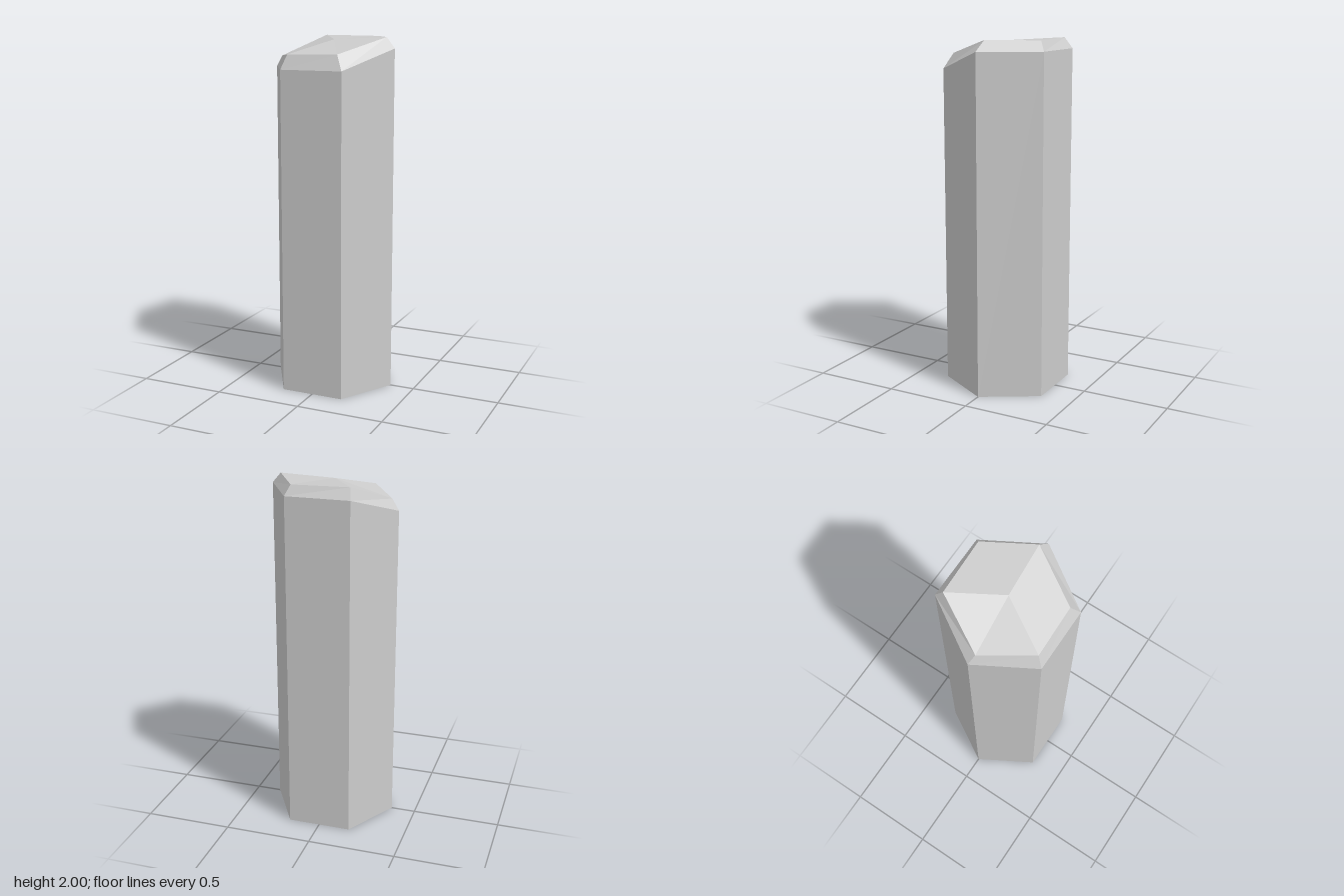
import * as THREE from 'three';

const SIDES = 6;
const RADIUS = 0.36;

// Surface through a stack of six-point rings, optionally closed by a fan to an apex.
function loft(rings, apex) {
  const position = [], index = [];
  rings.forEach(ring => ring.forEach(p => position.push(...p)));
  for (let r = 0; r < rings.length - 1; r++) {
    for (let i = 0; i < SIDES; i++) {
      const a = r * SIDES + i, b = r * SIDES + (i + 1) % SIDES;
      index.push(a, b, b + SIDES, a, b + SIDES, a + SIDES);
    }
  }
  if (apex) {
    const base = (rings.length - 1) * SIDES;
    position.push(...apex);
    for (let i = 0; i < SIDES; i++) index.push(base + i, base + (i + 1) % SIDES, base + SIDES);
  }
  const indexed = new THREE.BufferGeometry();
  indexed.setAttribute('position', new THREE.Float32BufferAttribute(position, 3));
  indexed.setIndex(index);
  const geometry = indexed.toNonIndexed();
  geometry.computeVertexNormals();
  return geometry;
}

export function createModel() {
  const group = new THREE.Group();
  group.name = 'hexagonalColumn';
  const material = new THREE.MeshStandardMaterial({
    color: 0xcccccc, flatShading: true, side: THREE.DoubleSide,
  });
  const add = (name, geometry) => {
    const mesh = new THREE.Mesh(geometry, material);
    mesh.name = name;
    group.add(mesh);
  };

  // Corners run from +x round the back; the back right half stands taller.
  const shoulderHeights = [1.94, 1.94, 1.94, 1.83, 1.83, 1.83];
  const hexagon = heights => heights.map((y, i) => {
    const angle = i * Math.PI / 3;
    return [RADIUS * Math.cos(angle), y, -RADIUS * Math.sin(angle)];
  });
  const foot = hexagon(Array(SIDES).fill(0));
  const shoulder = hexagon(shoulderHeights);

  // Irregular rim of the chipped top
  const rim = [
    [0.304, 2.0, -0.022], [0.153, 1.997, -0.281], [-0.168, 2.0, -0.268],
    [-0.317, 1.89, 0.018], [-0.155, 1.91, 0.276], [0.137, 1.915, 0.27],
  ];

  add('columnWalls', loft([foot, shoulder])); // open underneath
  add('bevel', loft([shoulder, rim]));
  add('topCap', loft([rim], [0, 1.985, 0]));
  return group;
}
